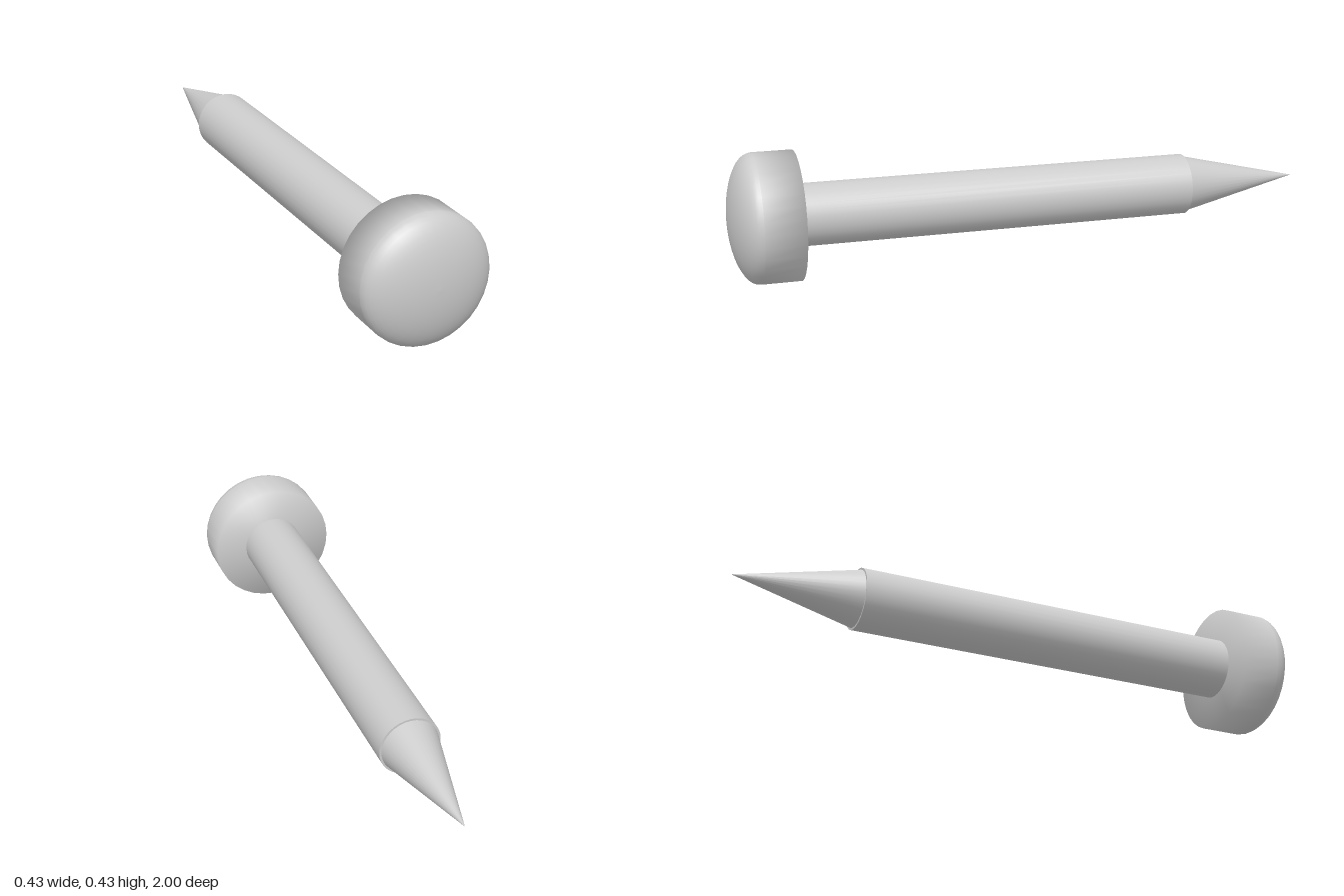
import * as THREE from 'three';

const RADIUS = 0.216; // head radius, also the height of the axis

export function createModel() {
  const group = new THREE.Group();
  group.name = 'nail';
  const steel = new THREE.MeshStandardMaterial({ color: 0xcccccc });
  steel.name = 'steel';

  // Turns a [radius, z] profile, listed from back to front, around the long axis
  function turned(name, profile) {
    const points = profile.map(([r, z]) => new THREE.Vector2(r, z));
    const geometry = new THREE.LatheGeometry(points, 32);
    geometry.rotateX(Math.PI / 2);
    const mesh = new THREE.Mesh(geometry, steel);
    mesh.name = name;
    mesh.position.y = RADIUS;
    group.add(mesh);
  }

  // Sharp point and the straight shaft with its narrow end rim
  turned('tip', [[0, -1], [0.097, -0.58]]);
  turned('shaftEnd', [[0, -0.58], [0.104, -0.58]]);
  turned('shaft', [[0.104, -0.58], [0.104, 0.775]]);

  // Head: softly shaded collar, then a shallow elliptical dome
  turned('headCollar', [[0, 0.775], [RADIUS, 0.775], [RADIUS, 0.91]]);
  const dome = [];
  for (let i = 0; i <= 12; i++) {
    const a = (i / 12) * Math.PI / 2;
    dome.push([i === 12 ? 0 : RADIUS * Math.cos(a), 0.91 + 0.09 * Math.sin(a)]);
  }
  turned('headDome', dome);

  return group;
}
